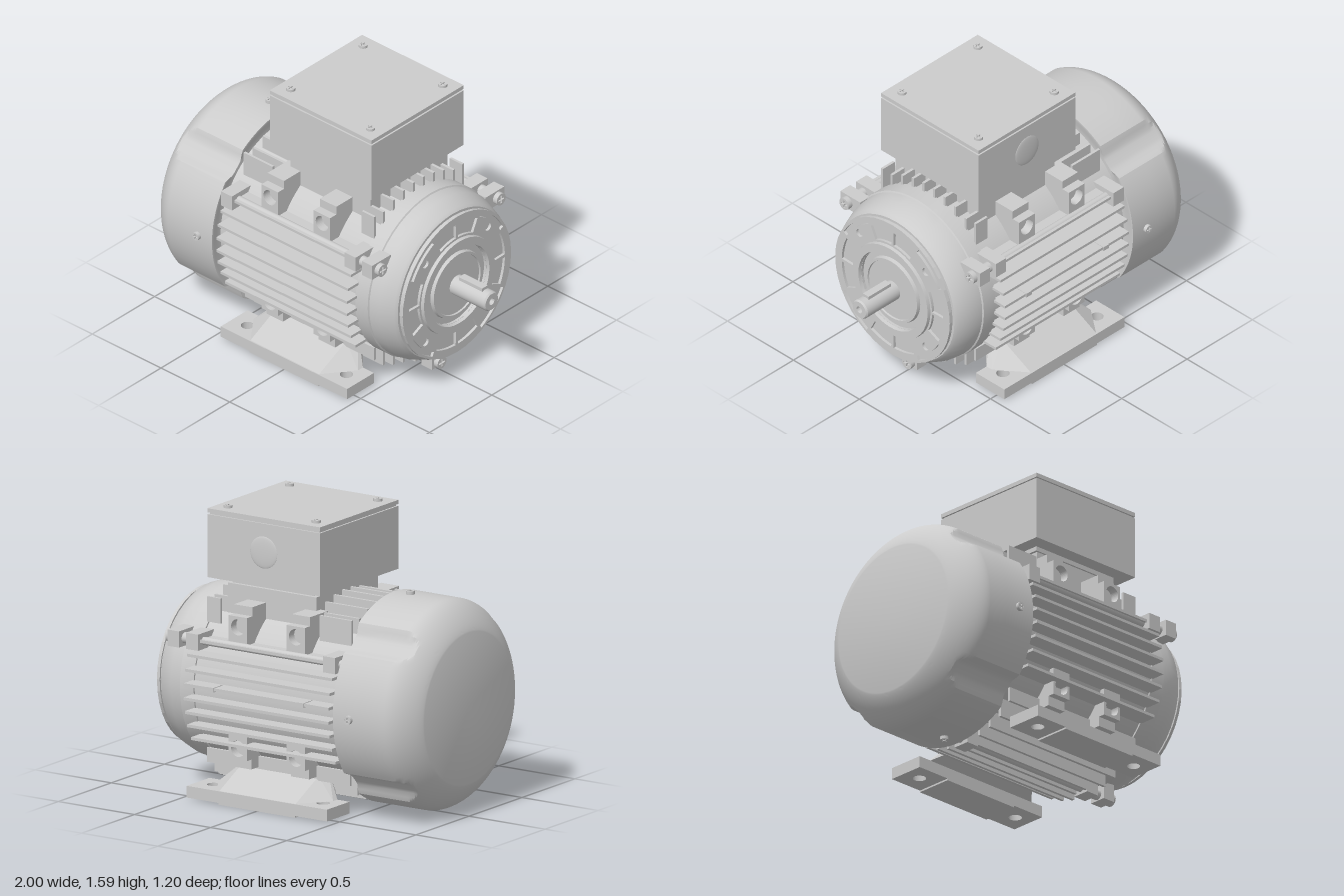
import * as THREE from 'three';
import { toCreasedNormals } from 'three/addons/utils/BufferGeometryUtils.js';
import { ConvexGeometry } from 'three/addons/geometries/ConvexGeometry.js';

const AXIS = 0.605; // height of the shaft axis
const mat = new THREE.MeshStandardMaterial({ color: 0xcccccc, side: THREE.DoubleSide });

export function createModel() {
  const model = new THREE.Group();

  const add = (name, geo) => {
    const mesh = new THREE.Mesh(geo, mat);
    mesh.name = name;
    model.add(mesh);
    return mesh;
  };
  // box given by its limits
  const box = (name, x0, x1, y0, y1, z0, z1) => add(name,
    new THREE.BoxGeometry(x1 - x0, y1 - y0, Math.abs(z1 - z0))
      .translate((x0 + x1) / 2, (y0 + y1) / 2, (z0 + z1) / 2));
  // body of revolution about the shaft axis; points are [x, radius]
  const turned = (name, pts, sides = 48, rule) => {
    const geo = new THREE.LatheGeometry(pts.map(([x, r]) => new THREE.Vector2(r, x)), sides);
    if (rule) rule(geo.attributes.position);
    return add(name, toCreasedNormals(geo.rotateZ(-Math.PI / 2).translate(0, AXIS, 0), 0.5));
  };
  const rod = (name, x0, x1, r, y, z) => add(name,
    new THREE.CylinderGeometry(r, r, x1 - x0, 24).rotateZ(Math.PI / 2).translate((x0 + x1) / 2, y, z));
  const circle = (x, y, r) => new THREE.Path().absarc(x, y, r, 0, Math.PI * 2, true);
  const rect = (x0, x1, y0, y1) => new THREE.Shape(
    [[x0, y0], [x1, y0], [x1, y1], [x0, y1]].map((p) => new THREE.Vector2(...p)));
  const extrude = (shape, depth) =>
    new THREE.ExtrudeGeometry(shape, { depth, bevelEnabled: false, curveSegments: 20 });

  // cross-recessed screw head pointing along dir
  const screw = (name, r, h, pos, dir) => {
    const a = r * 0.14, b = r * 0.65;
    const disc = new THREE.Shape().absarc(0, 0, r, 0, Math.PI * 2);
    disc.holes.push(new THREE.Path([[a, a], [a, b], [-a, b], [-a, a], [-b, a], [-b, -a],
      [-a, -a], [-a, -b], [a, -b], [a, -a], [b, -a], [b, a]].map((p) => new THREE.Vector2(...p))));
    const head = new THREE.Group();
    head.name = name;
    head.add(new THREE.Mesh(extrude(disc, h / 2).translate(0, 0, h / 2), mat));
    head.add(new THREE.Mesh(new THREE.CylinderGeometry(r, r, h / 2, 20).rotateX(Math.PI / 2).translate(0, 0, h / 4), mat));
    head.position.set(...pos);
    head.quaternion.setFromUnitVectors(new THREE.Vector3(0, 0, 1), new THREE.Vector3(...dir));
    model.add(head);
  };

  // stator barrel and drive-end bell
  turned('barrel', [[-0.6, 0], [-0.6, 0.49], [0.47, 0.49], [0.47, 0]]);
  turned('endBell', [[0.46, 0], [0.46, 0.5], [0.55, 0.5], [0.555, 0.492], [0.62, 0.485], [0.7, 0.455],
    [0.715, 0.44], [0.715, 0.425], [0.73, 0.425], [0.73, 0]]);

  // flange face with shallow pockets and tapped holes
  const flange = new THREE.Shape().absarc(0, 0, 0.435, 0, Math.PI * 2);
  flange.holes.push(circle(0, 0, 0.235));
  const pocket = (mid, half, r0, r1) => {
    const p = new THREE.Path();
    p.absarc(0, 0, r1, mid - half, mid + half, false);
    p.absarc(0, 0, r0, mid + half, mid - half, true);
    p.closePath();
    flange.holes.push(p);
  };
  for (let i = 0; i < 4; i++) {
    const q = i * Math.PI / 2, d = q + Math.PI / 4;
    flange.holes.push(circle(0.354 * Math.cos(d), 0.354 * Math.sin(d), 0.024));
    pocket(d, 0.3, 0.392, 0.42);
    for (const s of [-1, 1]) pocket(q + s * 0.235, 0.21, 0.3, 0.385);
  }
  add('flangeFace', extrude(flange, 0.018).rotateY(Math.PI / 2).translate(0.728, AXIS, 0));
  turned('pilotRing', [[0.735, 0.29], [0.765, 0.285], [0.765, 0.24], [0.74, 0.235]], 40);
  turned('bearingCap', [[0.735, 0.2], [0.755, 0.195], [0.755, 0.18], [0.745, 0.178], [0.745, 0]], 40);

  // shaft with centre hole and key
  turned('shaft', [[0.72, 0.057], [0.99, 0.057], [1, 0.05], [1, 0.02], [0.97, 0.018], [0.97, 0]], 32);
  box('shaftKey', 0.78, 0.95, AXIS + 0.03, 0.678, -0.022, 0.022);

  // fan cover with four scooped recesses on the diagonals
  const profile = [[-1, 0], [-1, 0.42]];
  const corner = new THREE.CubicBezierCurve(new THREE.Vector2(-1, 0.42), new THREE.Vector2(-0.985, 0.47),
    new THREE.Vector2(-0.91, 0.575), new THREE.Vector2(-0.83, 0.58));
  corner.getPoints(18).slice(1).forEach((p) => profile.push([p.x, p.y]));
  profile.push([-0.7, 0.58], [-0.51, 0.58], [-0.51, 0.565], [-0.53, 0.52], [-0.53, 0.48]);
  turned('fanCover', profile, 144, (pos) => {
    const half = Math.PI * 8.5 / 180;
    for (let i = 0; i < pos.count; i++) {
      const x = pos.getX(i), z = pos.getZ(i), r = Math.hypot(x, z);
      const quarter = Math.PI / 2;
      const a = ((Math.atan2(z, x) % quarter) + quarter) % quarter - quarter / 2;
      if (r < 0.48 || Math.abs(a) > half) continue;
      const k = Math.min(1, (0.54 + 0.04 * (a / half) ** 4) / r);
      pos.setX(i, x * k);
      pos.setZ(i, z * k);
    }
  });
  for (const [dy, dz] of [[1, 0], [-1, 0], [0, 1], [0, -1]])
    screw('coverScrew', 0.024, 0.024, [-0.615, AXIS + dy * 0.575, dz * 0.575], [0, dy, dz]);

  // cooling fins, trimmed to a round envelope
  const t = 0.008;
  for (let i = 0; i < 8; i++) {
    const y = 0.33 + i * 0.0785;
    const reach = Math.sqrt(0.58 ** 2 - (y - AXIS) ** 2);
    for (const s of [-1, 1]) box('sideFin', -0.48, 0.47, y - t, y + t, s * 0.36, s * reach);
    const z = (i - 3.5) * 0.08;
    const rise = Math.sqrt(0.575 ** 2 - z * z);
    box('bottomFin', -0.47, 0.47, AXIS - rise, AXIS - 0.38, z - t, z + t);
    box('topFin', -0.48, 0.47, AXIS + 0.38, AXIS + rise - 0.02, z - t, z + t);
  }
  for (const s of [-1, 1]) {
    box('outerTopFin', -0.48, -0.27, 0.95, 1.09, s * 0.345, s * 0.36);
    box('outerTopFin', 0.38, 0.47, 0.95, 1.09, s * 0.345, s * 0.36);
    box('outerBottomFin', -0.47, 0.47, 0.17, 0.25, s * 0.345, s * 0.36);
  }
  for (const x of [-0.3, 0.29]) box('finClip', x - 0.02, x + 0.02, 0.63, 0.655, -0.585, -0.5);

  // mounting pads with blind holes, upper and lower on both sides
  for (const s of [-1, 1]) for (const x of [-0.19, 0.19]) {
    for (const [y0, y1, hole, c0, c1, cz] of [
      [0.88, 1.04, 0.98, 1.04, 1.09, 0.42], [0.245, 0.4, 0.305, 0.19, 0.245, 0.43]]) {
      box('padBase', x - 0.06, x + 0.06, y0, y1, s * 0.25, s * 0.42);
      box('padStep', x - 0.06, x + 0.06, c0, c1, s * 0.25, s * cz);
      const face = rect(-0.06, 0.06, y0, y1);
      face.holes.push(circle(0, hole, 0.045));
      add('padFace', extrude(face, 0.05).translate(x, 0, s > 0 ? 0.42 : -0.47));
    }
  }

  // feet: drilled slab, thicker middle and sloping web up to the body
  for (const s of [-1, 1]) {
    const slab = rect(-0.46, 0.46, 0.35, 0.565);
    for (const x of [-0.36, 0.36]) slab.holes.push(circle(x, 0.46, 0.036));
    const foot = add('foot', extrude(slab, 0.065).rotateX(Math.PI / 2).translate(0, 0.08, s > 0 ? 0 : -0.915));
    foot.name = 'footSlab';
    box('footPad', -0.25, 0.25, 0.005, 0.05, s * 0.35, s * 0.565);
    const pts = [];
    for (const m of [-1, 1])
      for (const [x, y, z] of [[0.25, 0.079, 0.56], [0.38, 0.079, 0.39], [0.38, 0.079, 0.35],
        [0.25, 0.19, 0.34], [0.25, 0.22, 0.25], [0.25, 0.16, 0.21]])
        pts.push(new THREE.Vector3(m * x, y, s * z));
    add('footWeb', new ConvexGeometry(pts));
  }

  // tie bolts with their lugs: two at the sides, one underneath
  for (const [y, z] of [[0.875, 0.475], [0.875, -0.475], [0.055, 0]]) {
    const s = Math.sign(z);
    const lug = (x0, x1) => (s
      ? box('boltLug', x0, x1, y - 0.045, y + 0.045, s * 0.38, s * 0.53)
      : box('boltLug', x0, x1, 0.02, 0.16, -0.05, 0.05));
    lug(-0.49, -0.41);
    lug(0.41, 0.49);
    lug(0.535, 0.61);
    rod('tieBolt', -0.52, 0.61, 0.022, y, z);
    rod('boltCollar', 0.49, 0.535, 0.03, y, z);
    screw('boltHead', 0.036, 0.03, [0.608, y, z], [1, 0, 0]);
  }

  // terminal box on its neck
  box('boxNeck', -0.2, 0.38, 0.95, 1.165, -0.29, 0.29);
  box('neckGasket', -0.17, 0.36, 1.16, 1.18, -0.27, 0.27);
  box('neckFlange', -0.2, 0.38, 1.175, 1.205, -0.285, 0.285);
  box('terminalBox', -0.28, 0.46, 1.2, 1.55, -0.37, 0.37);
  box('lidGasket', -0.27, 0.45, 1.55, 1.56, -0.36, 0.36);
  box('boxLid', -0.28, 0.46, 1.56, 1.583, -0.37, 0.37);
  for (const x of [-0.2, 0.38]) for (const z of [-0.29, 0.29])
    screw('lidScrew', 0.025, 0.018, [x, 1.58, z], [0, 1, 0]);
  // shallow domed knockout on the rear face
  add('cableKnockout', new THREE.SphereGeometry(0.09, 32, 8, 0, Math.PI * 2, 0, Math.PI / 2)
    .scale(1, 0.1, 1).rotateX(-Math.PI / 2).translate(0.09, 1.39, -0.369));

  return model;
}
